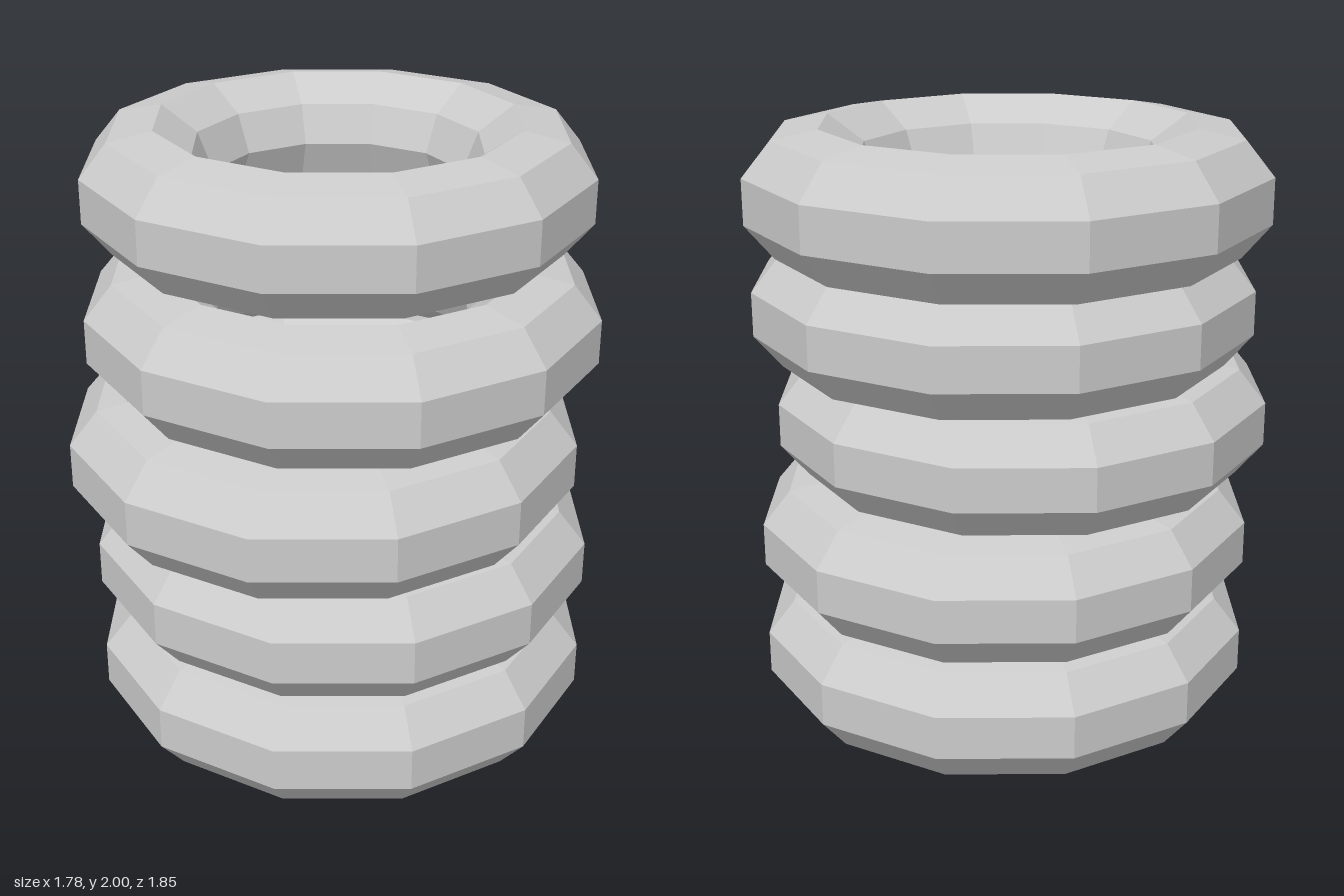
import * as THREE from 'three';

export function createModel() {
  const group = new THREE.Group();
  group.name = 'tyreStack';
  const material = new THREE.MeshStandardMaterial({ color: 0xcccccc, flatShading: true });

  // Closed tyre cross-section (radius, height), from the inner waist round the outside
  const half = 0.2075;
  const lower = [[0.47, -0.125], [0.59, -half], [0.735, -0.18], [0.825, -0.0715]];
  const upper = lower.map(([r, y]) => [r, -y]).reverse();
  const profile = [[0.42, 0], ...lower, ...upper, [0.42, 0]].map(([r, y]) => new THREE.Vector2(r, y));
  const geometry = new THREE.LatheGeometry(profile, 12);

  // Sideways offset (x, z) of each tyre, bottom to top
  const offsets = [[0.06, 0.01], [0.06, 0.01], [0.065, 0.1], [0.06, 0.01], [-0.07, -0.1]];
  const step = (2 - 2 * half) / (offsets.length - 1);
  offsets.forEach(([x, z], i) => {
    const tyre = new THREE.Mesh(geometry, material);
    tyre.name = `tyre${i + 1}`;
    tyre.position.set(x, half + i * step, z);
    group.add(tyre);
  });
  return group;
}
